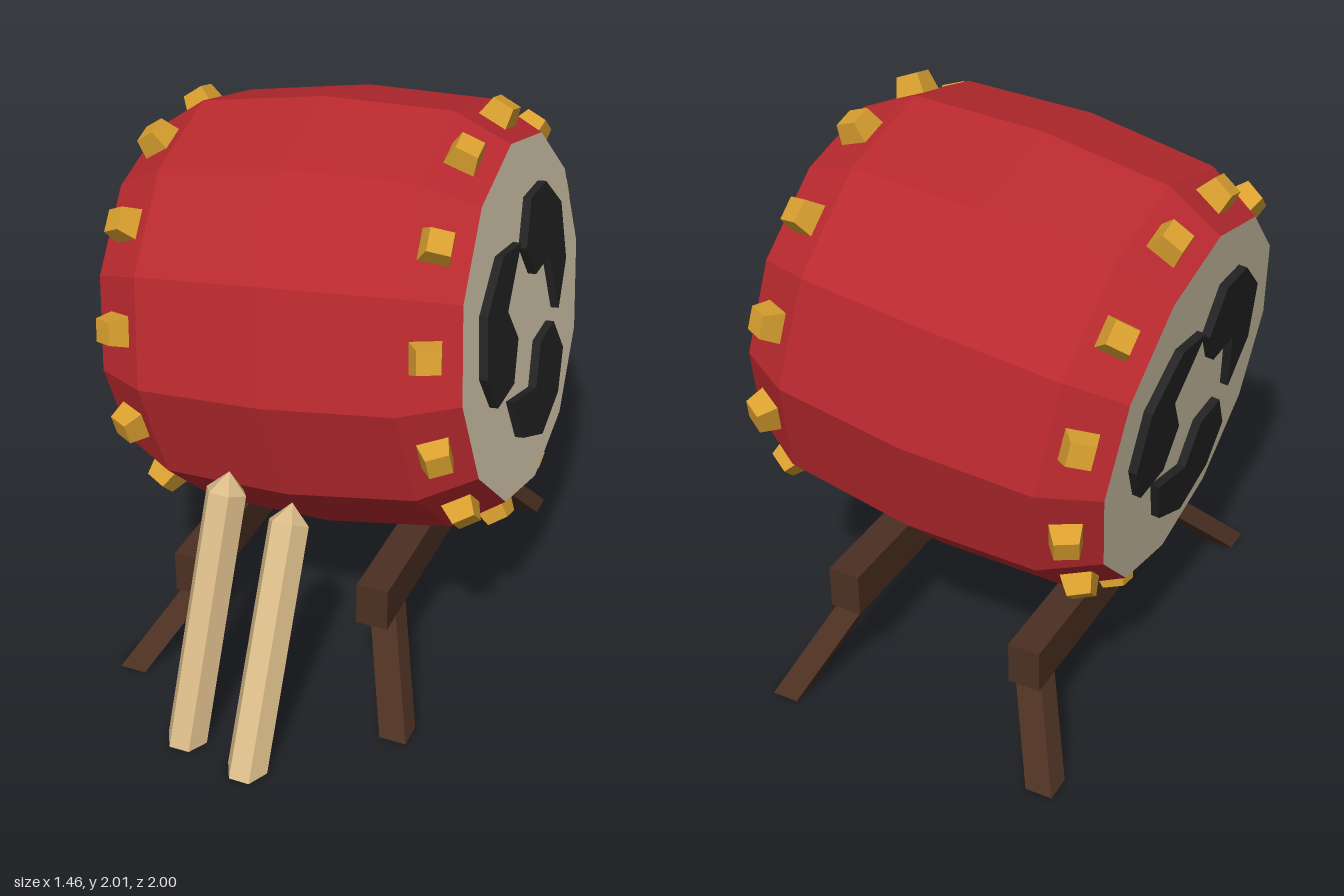
import * as THREE from 'three';

const mat = (color) => new THREE.MeshStandardMaterial({ color, flatShading: true });
const red = mat(0xb8292e), cream = mat(0xdccfb2), gold = mat(0xd99f2f);
const black = mat(0x232323), darkWood = mat(0x4c3022), paleWood = mat(0xd9bb88);

function add(parent, name, geometry, material, x = 0, y = 0, z = 0) {
  const mesh = new THREE.Mesh(geometry, material);
  mesh.name = name;
  mesh.position.set(x, y, z);
  parent.add(mesh);
  return mesh;
}

const TILT = 0.121, MID_Z = -0.19;

// Twelve-sided barrel with skins, comma marks and studs; its axis runs along x
function makeDrum() {
  const drum = new THREE.Group();
  drum.name = 'drum';
  drum.position.set(0, 1.213, MID_Z);
  drum.rotation.z = TILT;

  const profile = [[0.634, -0.65], [0.742, -0.46], [0.776, 0], [0.742, 0.46], [0.634, 0.65]]
    .map(([r, y]) => new THREE.Vector2(r, y));
  add(drum, 'barrel', new THREE.LatheGeometry(profile, 12), red).rotation.z = -Math.PI / 2;

  const comma = new THREE.Shape([
    [-0.053, 0.307], [-0.235, 0.339], [-0.422, 0.214], [-0.47, 0.01],
    [-0.396, -0.134], [-0.225, -0.134], [-0.15, 0], [-0.23, 0.139],
  ].map(([x, y]) => new THREE.Vector2(x, y)));
  const commaGeo = new THREE.ExtrudeGeometry(comma, { depth: 0.03, bevelEnabled: false });
  const studGeo = new THREE.CylinderGeometry(0.08 / Math.SQRT2, 0.115 / Math.SQRT2, 0.09, 4)
    .rotateY(Math.PI / 4);

  for (const s of [-1, 1]) {
    const head = new THREE.Group();
    head.name = 'drumHead';
    head.position.x = s * 0.65;
    head.rotation.y = s * Math.PI / 2;
    add(head, 'skin', new THREE.CircleGeometry(0.634, 12), cream);
    for (let i = 0; i < 3; i++) {
      add(head, 'commaMark', commaGeo, black).rotation.z = i * Math.PI * 2 / 3;
    }
    drum.add(head);

    // One stud in the middle of each facet, square to the sloping surface
    for (let i = 0; i < 12; i++) {
      const spoke = new THREE.Group();
      spoke.name = 'studMount';
      spoke.rotation.x = (i + 0.5) * Math.PI / 6;
      add(spoke, 'stud', studGeo, gold, s * 0.558, 0.69, 0).rotation.z = -s * 0.52;
      drum.add(spoke);
    }
  }
  return drum;
}

// Square leg with level ends, slanting from its foot to its top
function legGeometry(foot, top, width) {
  const geo = new THREE.BoxGeometry(width, 1, width).translate(0, 0.5, 0);
  const p = geo.attributes.position;
  for (let i = 0; i < p.count; i++) {
    const t = p.getY(i);
    p.setXYZ(i,
      p.getX(i) + foot.x + (top.x - foot.x) * t,
      foot.y + (top.y - foot.y) * t,
      p.getZ(i) + foot.z + (top.z - foot.z) * t);
  }
  geo.computeVertexNormals();
  return geo;
}

// Two rails at different heights, splayed legs and a tilted crossbar
function makeStand() {
  const stand = new THREE.Group();
  stand.name = 'stand';
  const sides = [
    { x: -0.355, y: 0.34, footX: -0.508, topX: -0.345 },
    { x: 0.343, y: 0.40, footX: 0.4975, topX: 0.345 },
  ];
  for (const { x, y, footX, topX } of sides) {
    add(stand, 'rail', new THREE.BoxGeometry(0.115, 0.16, 1.24), darkWood, x, y, MID_Z);
    const topY = y - 0.075;
    for (const s of [-1, 1]) {
      const foot = new THREE.Vector3(footX, 0, MID_Z + s * 0.757);
      const top = new THREE.Vector3(topX, topY, MID_Z + s * (0.757 - 0.88 * topY));
      add(stand, 'leg', legGeometry(foot, top, 0.097), darkWood);
    }
  }
  add(stand, 'crossbar', new THREE.BoxGeometry(0.68, 0.06, 0.1), darkWood, 0, 0.366, MID_Z)
    .rotation.z = TILT;
  return stand;
}

// Six-sided stick with a pointed tip, its foot cut level with the floor
function makeStick(foot, tip) {
  const axis = tip.clone().sub(foot);
  const length = axis.length();
  axis.normalize();
  const r = 0.073;
  const points = [[0, 0], [r, 0], [r, length - 0.07], [0, length]]
    .map(([x, y]) => new THREE.Vector2(x, y));
  const geo = new THREE.LatheGeometry(points, 6, Math.PI / 2);
  const turn = new THREE.Quaternion().setFromUnitVectors(new THREE.Vector3(0, 1, 0), axis);
  const p = geo.attributes.position, v = new THREE.Vector3();
  for (let i = 0; i < p.count; i++) {
    v.fromBufferAttribute(p, i);
    const atFoot = v.y < 0.001;
    v.applyQuaternion(turn).add(foot);
    if (atFoot) v.addScaledVector(axis, -v.y / axis.y);
    p.setXYZ(i, v.x, v.y, v.z);
  }
  geo.computeVertexNormals();
  return geo;
}

export function createModel() {
  const model = new THREE.Group();
  model.name = 'drumOnStand';
  model.add(makeDrum(), makeStand());
  const V = (x, y, z) => new THREE.Vector3(x, y, z);
  add(model, 'tallDrumstick', makeStick(V(-0.163, 0, 0.87), V(-0.132, 0.91, 0.54)), paleWood);
  add(model, 'shortDrumstick', makeStick(V(0.092, 0, 0.93), V(0.068, 0.795, 0.475)), paleWood);
  return model;
}
